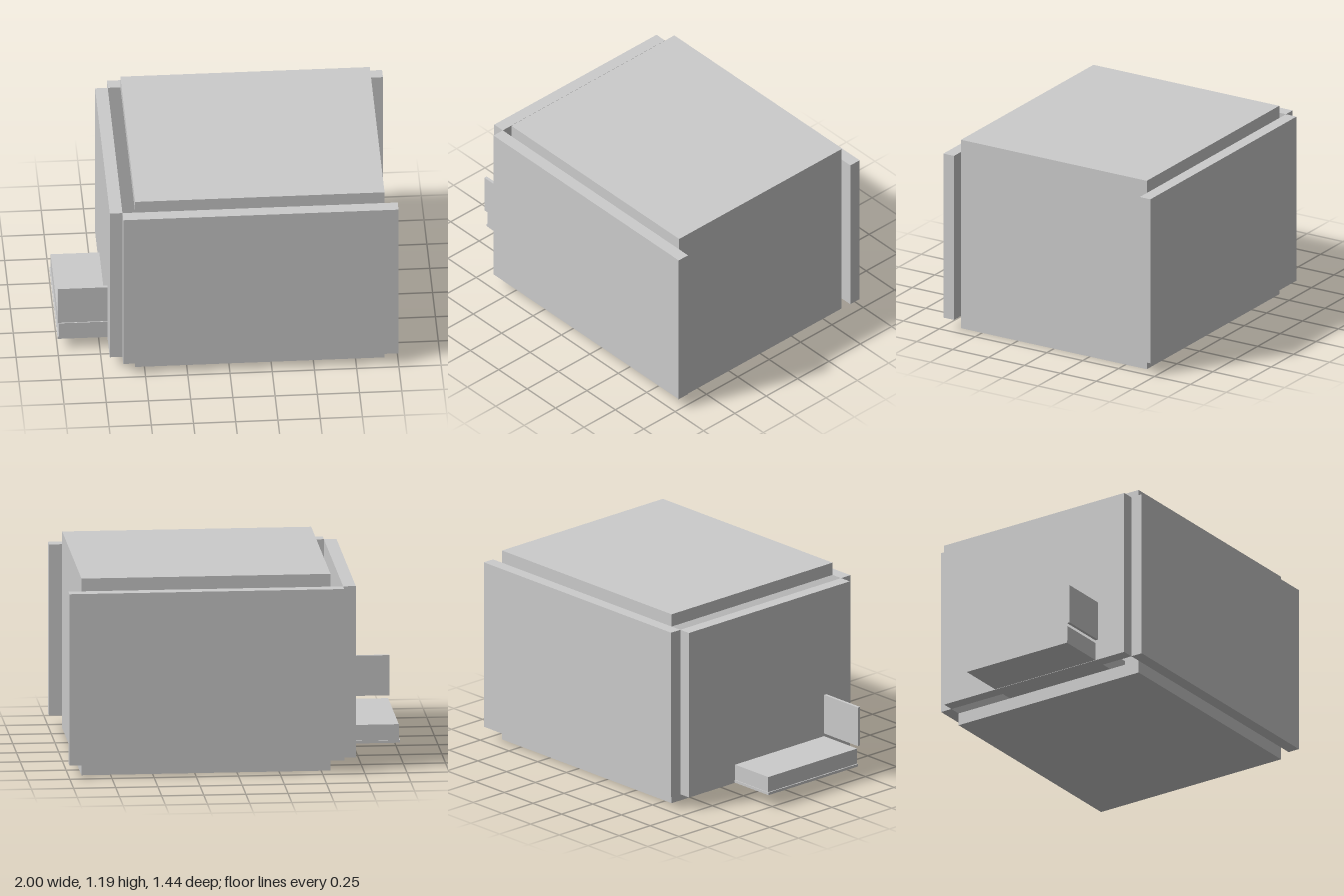
import * as THREE from 'three';

export function createModel() {
  const model = new THREE.Group();
  const grey = new THREE.MeshStandardMaterial({ color: 0xcccccc });
  grey.name = 'light grey';

  // Box given by its [min, max] extent on each axis
  function panel(name, [x0, x1], [y0, y1], [z0, z1], parent = model) {
    const mesh = new THREE.Mesh(new THREE.BoxGeometry(x1 - x0, y1 - y0, z1 - z0), grey);
    mesh.position.set((x0 + x1) / 2, (y0 + y1) / 2, (z0 + z1) / 2);
    mesh.name = name;
    parent.add(mesh);
  }

  // Hollow case: staggered panels that overlap like a butt-jointed crate
  const depth = [-0.647, 0.647];
  const wallHeight = [0.077, 1.113];
  const capLength = [-0.555, 0.922];
  const sideLength = [-0.63, 1];
  panel('bottomPanel', capLength, [0, 0.077], depth);
  panel('topPanel', capLength, [1.113, 1.19], depth);
  panel('leftPanel', [0.847, 0.922], wallHeight, depth);
  panel('rightPanel', [-0.705, -0.63], wallHeight, depth);
  panel('frontPanel', sideLength, wallHeight, [0.647, 0.721]);
  panel('backPanel', sideLength, wallHeight, [-0.721, -0.647]);

  // Tray passing through the right panel, with an upright plate at its front
  const tray = new THREE.Group();
  tray.name = 'tray';
  panel('trayBase', [-1, -0.4], [0.079, 0.095], [-0.28, 0.44], tray);
  panel('trayBlock', [-0.993, -0.4], [0.095, 0.19], [-0.275, 0.44], tray);
  panel('uprightPlate', [-1, -0.4], [0.207, 0.45], [0.44, 0.458], tray);
  model.add(tray);

  return model;
}
